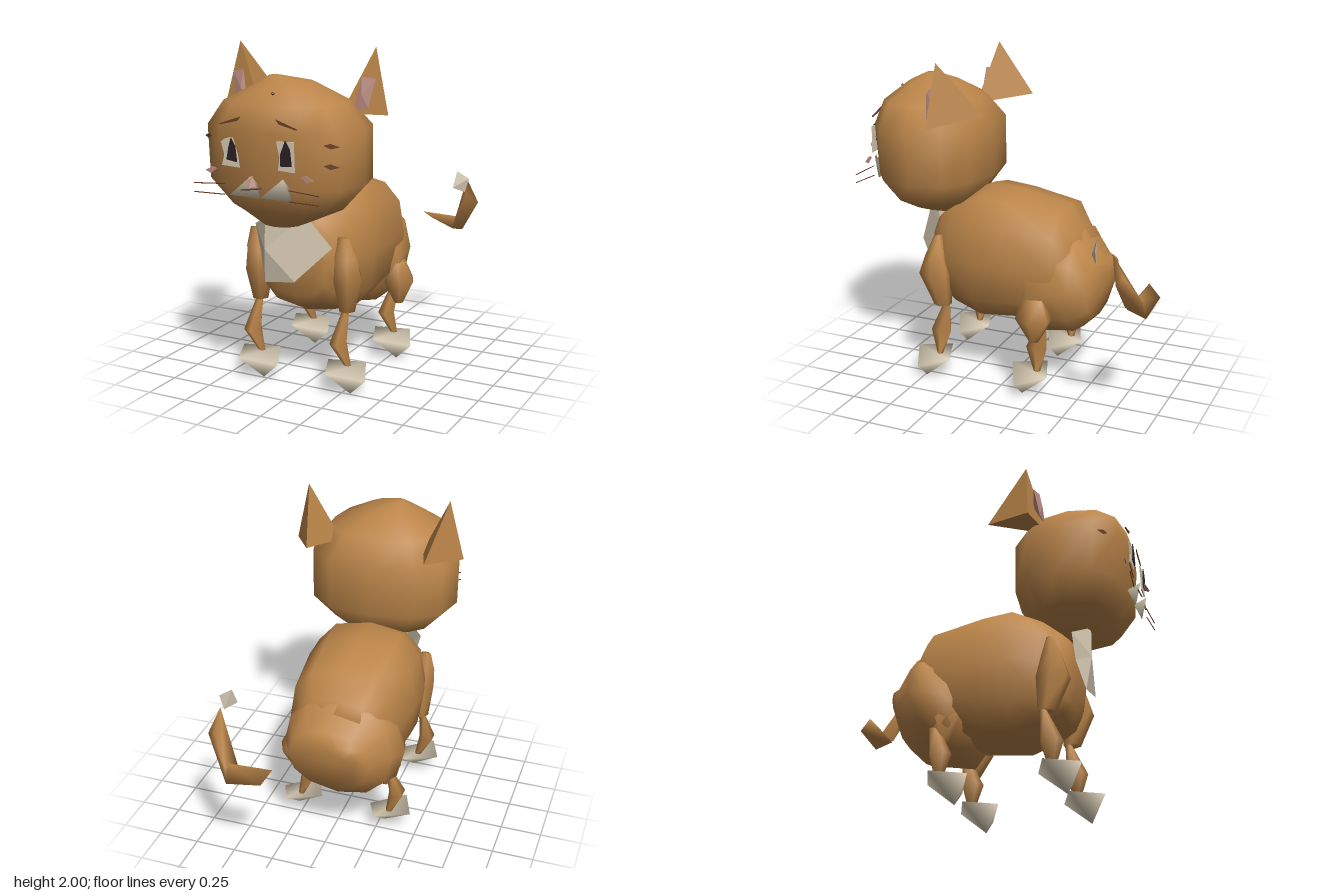
import * as THREE from 'three';
import { ConvexGeometry } from 'three/addons/geometries/ConvexGeometry.js';
import { mergeVertices } from 'three/addons/utils/BufferGeometryUtils.js';

const MID = -0.055; // the symmetry plane of the cat
const V = (p) => new THREE.Vector3(...p);

// Closed smooth skin over rings [height, centreX, radiusX, depthMin, depthMax], going up y
function loft(rings, n, power = 1) {
  const pos = [], idx = [];
  const bend = (v) => Math.sign(v) * Math.abs(v) ** power;
  for (const [t, cx, rx, lo, hi] of rings) {
    for (let i = 0; i < n; i++) {
      const a = (i / n) * Math.PI * 2;
      pos.push(cx + rx * bend(Math.cos(a)), t, (lo + hi) / 2 + ((hi - lo) / 2) * bend(Math.sin(a)));
    }
  }
  const last = rings.length - 1, low = pos.length / 3, high = low + 1;
  for (const r of [rings[0], rings[last]]) pos.push(r[1], r[0], (r[3] + r[4]) / 2);
  for (let i = 0; i < n; i++) {
    const j = (i + 1) % n;
    for (let k = 0; k < last; k++) {
      const a = k * n + i, b = k * n + j;
      idx.push(a, a + n, b, b, a + n, b + n);
    }
    idx.push(low, i, j, high, last * n + j, last * n + i);
  }
  const g = new THREE.BufferGeometry();
  g.setAttribute('position', new THREE.Float32BufferAttribute(pos, 3));
  g.setIndex(idx);
  g.computeVertexNormals();
  return g;
}

// Same skin running along z, with rings [z, centreX, radiusX, yMin, yMax]
const loftZ = (rings, n, power) =>
  loft(rings.map(([z, cx, rx, lo, hi]) => [z, cx, rx, -hi, -lo]), n, power).rotateX(Math.PI / 2);

const hull = (pts) => new ConvexGeometry(pts.map(V));

// Hull with shading blended over its edges
function softHull(pts) {
  const g = hull(pts);
  g.deleteAttribute('normal');
  const m = mergeVertices(g, 1e-4);
  m.computeVertexNormals();
  return m;
}

// Thin flat plate from an outline in x and y
function plate(outline, z, depth = 0.006) {
  const s = new THREE.Shape(outline.map(([x, y]) => new THREE.Vector2(x, y)));
  return new THREE.ExtrudeGeometry(s, { depth, bevelEnabled: false }).translate(0, 0, z);
}

// Thin rod between two points
function rod(a, b, r) {
  return new THREE.TubeGeometry(new THREE.LineCurve3(V(a), V(b)), 1, r, 4);
}

export function createModel() {
  const mat = (name, color) => {
    const m = new THREE.MeshStandardMaterial({ color, side: THREE.DoubleSide });
    m.name = name;
    return m;
  };
  const fur = mat('tan fur', 0xbb8549);
  const cream = mat('cream', 0xd6cab3);
  const pink = mat('pink', 0xbd8e84);
  const dark = mat('dark', 0x2a2226);
  const brown = mat('brown', 0x6b4028);

  const cat = new THREE.Group();
  cat.name = 'cat';
  const add = (name, geo, material, parent = cat) => {
    const m = new THREE.Mesh(geo, material);
    m.name = name;
    parent.add(m);
    return m;
  };

  // Head
  add('head', loft([
    [1.015, MID, 0.12, 0.38, 0.72],
    [1.11, MID, 0.33, 0.285, 0.78],
    [1.26, MID, 0.465, 0.18, 0.865],
    [1.57, MID, 0.465, 0.18, 0.89],
    [1.71, MID, 0.35, 0.285, 0.85],
    [1.81, MID, 0.15, 0.42, 0.73],
    [1.85, -0.1, 0.03, 0.59, 0.65],
  ], 12, 0.8), fur);

  // Body and haunches
  add('body', loftZ([
    [-0.46, -0.1, 0.16, 0.55, 0.94],
    [-0.41, MID, 0.25, 0.5, 0.99],
    [-0.32, MID, 0.33, 0.42, 1.13],
    [0, MID, 0.365, 0.39, 1.19],
    [0.18, MID, 0.365, 0.37, 1.21],
    [0.36, MID, 0.32, 0.43, 1.12],
    [0.46, MID, 0.25, 0.48, 1.04],
    [0.5, MID, 0.21, 0.55, 1.0],
    [0.53, MID, 0.15, 0.68, 0.93],
  ], 12, 0.78), fur);
  add('haunches', loftZ([
    [-0.58, -0.14, 0.09, 0.64, 0.79],
    [-0.53, -0.04, 0.25, 0.46, 0.84],
    [-0.42, -0.06, 0.335, 0.35, 0.98],
    [-0.33, -0.08, 0.365, 0.34, 0.98],
    [-0.18, -0.05, 0.36, 0.325, 0.9],
    [-0.08, MID, 0.25, 0.42, 0.8],
  ], 12, 0.88), fur);

  // Chest bib: a fan around a raised point
  const rim = [[-0.29, 0.97, 0.54], [-0.25, 0.81, 0.55], [-0.2, 0.64, 0.595], [0, 0.67, 0.605],
    [0.21, 0.88, 0.54], [0.05, 1.06, 0.56], [-0.17, 1.04, 0.63]];
  const fan = rim.flatMap((p, i) => [...p, ...rim[(i + 1) % rim.length], -0.18, 0.85, 0.63]);
  const bib = new THREE.BufferGeometry();
  bib.setAttribute('position', new THREE.Float32BufferAttribute(fan, 3));
  bib.computeVertexNormals();
  add('chestBib', bib, cream);

  // Legs: the left pair repeats the right pair
  for (const [side, dx] of [['right', 0], ['left', 0.58]]) {
    const front = new THREE.Group(), hind = new THREE.Group();
    front.name = side + 'FrontLeg';
    hind.name = side + 'HindLeg';
    front.position.x = hind.position.x = dx;
    cat.add(front, hind);
    add('upperLeg', loft([
      [0.475, -0.345, 0.05, 0.345, 0.455],
      [0.68, -0.325, 0.09, 0.33, 0.54],
      [0.8, -0.34, 0.075, 0.37, 0.5],
      [0.915, -0.355, 0.035, 0.41, 0.45],
    ], 6), fur, front);
    add('thigh', loft([
      [0.35, -0.3, 0.03, -0.26, -0.2],
      [0.5, -0.3, 0.1, -0.35, -0.11],
      [0.62, -0.3, 0.04, -0.29, -0.15],
    ], 6), fur, hind);
    add('lowerLeg', loft([
      [0.14, -0.33, 0.02, 0.4, 0.435],
      [0.28, -0.385, 0.05, 0.36, 0.5],
      [0.48, -0.36, 0.02, 0.36, 0.4],
    ], 5), fur, front);
    add('lowerLeg', loft([
      [0.14, -0.33, 0.02, -0.26, -0.22],
      [0.28, -0.375, 0.05, -0.29, -0.15],
      [0.45, -0.34, 0.025, -0.3, -0.24],
    ], 5), fur, hind);
    for (const [leg, dz] of [[front, 0], [hind, -0.65]]) {
      add('foot', softHull([[-0.47, 0.155, 0.4], [-0.26, 0.145, 0.32], [-0.18, 0.1, 0.5],
        [-0.28, 0.005, 0.49], [-0.39, 0.145, 0.6]]).translate(0, 0, dz), cream, leg);
    }
  }

  // Tail floats behind, bent at the elbow
  add('tailBase', softHull([[0.2, 0.72, -0.975], [0.16, 0.78, -0.895], [0.42, 0.67, -0.96],
    [0.43, 0.77, -0.9], [0.4, 0.7, -0.84]]), fur);
  add('tailEnd', softHull([[0.42, 0.67, -0.96], [0.4, 0.71, -0.83], [0.43, 0.77, -0.94],
    [0.575, 0.9, -0.83], [0.52, 0.93, -0.86], [0.5, 0.95, -0.8], [0.51, 1.06, -0.785]]), fur);
  add('tailTip', hull([[0.48, 1.125, -0.685], [0.555, 1.08, -0.7], [0.53, 0.99, -0.7],
    [0.465, 1.02, -0.65]]), cream);

  // Mirrored face parts
  for (const [side, s] of [['right', -1], ['left', 1]]) {
    const x = (d) => MID + s * d;
    const flat = (pts) => pts.map(([d, y]) => [x(d), y]);
    add(side + 'Ear', hull([[x(0.437), 2, 0.34], [x(0.527), 1.63, 0.37],
      [x(0.262), 1.63, 0.42], [x(0.36), 1.7, 0.075]]), fur);
    add(side + 'InnerEar', hull([[x(0.38), 1.84, 0.405], [x(0.46), 1.83, 0.39], [x(0.425), 1.67, 0.415],
      [x(0.345), 1.65, 0.425], [x(0.39), 1.74, 0.425], [x(0.4), 1.74, 0.37]]), pink);
    add(side + 'Brow', plate(flat([[0.11, 1.65], [0.24, 1.605], [0.235, 1.6], [0.13, 1.625]]), 0.882), brown);
    add(side + 'CheekSpot', plate(flat([[0.26, 1.355], [0.29, 1.365], [0.335, 1.34], [0.3, 1.325]]), 0.885), pink);
    for (const y of s > 0 ? [1.51, 1.4] : [1.51]) {
      add(side + 'CheekStripe', hull([[x(0.35), y + 0.005, 0.8], [x(0.38), y + 0.015, 0.78],
        [x(0.425), y - 0.005, 0.75], [x(0.38), y - 0.015, 0.78]]), brown);
    }
    for (const [k, y] of [1.22, 1.27].entries()) {
      add(side + 'Whisker' + k, rod([x(0.2), y + 0.01 * k, 0.91], [x(0.39), y, 0.925], 0.003), brown);
    }
  }

  // Eyes: each has its own uneven outline
  add('rightEye', plate([[-0.28, 1.51], [-0.26, 1.44], [-0.275, 1.38], [-0.165, 1.375], [-0.175, 1.44],
    [-0.205, 1.535], [-0.25, 1.53]], 0.895), cream);
  add('rightPupil', plate([[-0.21, 1.535], [-0.185, 1.49], [-0.175, 1.405], [-0.24, 1.415],
    [-0.225, 1.49]], 0.905), dark);
  add('leftEye', plate([[0.065, 1.535], [0.085, 1.45], [0.075, 1.38], [0.175, 1.375], [0.17, 1.54]], 0.895), cream);
  add('leftPupil', plate([[0.125, 1.545], [0.095, 1.47], [0.095, 1.405], [0.162, 1.41],
    [0.152, 1.5]], 0.905), dark);

  // Muzzle
  for (const [side, dx] of [['right', 0], ['left', 0.195]]) {
    add(side + 'Muzzle', softHull([[-0.25, 1.21, 0.87], [-0.05, 1.21, 0.88], [-0.08, 1.34, 0.92],
      [-0.08, 1.28, 0.85]]).translate(dx, 0, 0), cream);
  }

  // Nose, mouth and forehead dot
  add('nose', hull([[-0.1, 1.31, 0.95], [-0.06, 1.345, 0.94], [-0.03, 1.295, 0.955],
    [-0.065, 1.285, 0.97], [-0.065, 1.3, 0.935]]), pink);
  add('mouth', rod([-0.15, 1.255, 0.915], [-0.02, 1.275, 0.915], 0.004), brown);
  add('foreheadDot', new THREE.OctahedronGeometry(0.012).translate(-0.02, 1.77, 0.78), brown);

  return cat;
}
